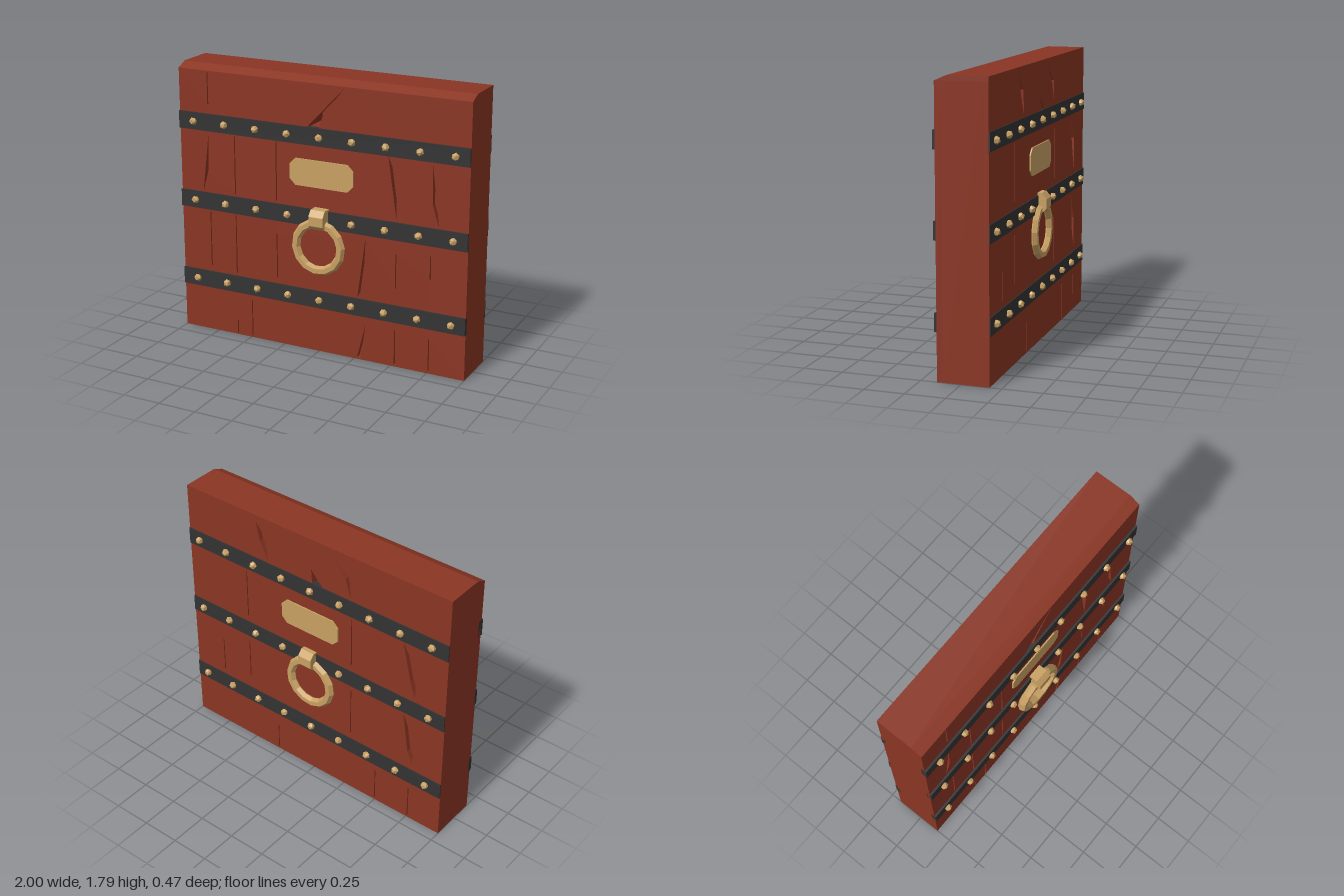
import * as THREE from 'three';

const mat = (name, color) => {
  const m = new THREE.MeshStandardMaterial({ color, flatShading: true });
  m.name = name;
  return m;
};

export function createModel() {
  const wood = mat('red wood', 0x8a3523);
  const iron = mat('dark iron', 0x333333);
  const brass = mat('brass', 0xc8a063);
  const door = new THREE.Group();
  door.name = 'door';

  const add = (name, geo, material, parent = door) => {
    const mesh = new THREE.Mesh(geo, material);
    mesh.name = name;
    parent.add(mesh);
    return mesh;
  };
  const path = (pts, Type = THREE.Shape) => new Type(pts.map(([x, y]) => new THREE.Vector2(x, y)));
  // Upright panel from z0 to z1 with polygon holes
  const panel = (outline, z0, z1, holes = []) => {
    const shape = path(outline);
    shape.holes = holes.map((h) => path(h, THREE.Path));
    return new THREE.ExtrudeGeometry(shape, { depth: z1 - z0, bevelEnabled: false }).translate(0, 0, z0);
  };
  // Profile of [z, y] points swept along x
  const sweepX = (profile, width) => new THREE.ExtrudeGeometry(
    path(profile.map(([z, y]) => [-z, y])), { depth: width, bevelEnabled: false })
    .translate(0, 0, -width / 2).rotateY(Math.PI / 2);
  const slit = ([x, y0, y1]) => [[x - 0.004, y0], [x + 0.004, y0], [x + 0.003, y1], [x - 0.003, y1]];

  // Wooden slab: core, cracked front and back skins, bevelled top
  const board = [[-1, 0], [1, 0], [1, 1.76], [-1, 1.76]];
  const gap = [[-0.085, 1.475], [0, 1.475], [0.01, 1.58]];
  const frontCracks = [
    [[-0.085, 1.475], [0, 1.475], [0.03, 1.57], [0.175, 1.75]],
    [[-0.84, 0.96], [-0.8, 1.1], [-0.79, 1.36]],
    [[0.47, 1.37], [0.53, 0.97], [0.53, 1.23]],
    [[0.76, 1.36], [0.765, 1.1], [0.81, 0.96]],
    [[0.27, 0.42], [0.31, 0.5], [0.325, 0.83]],
    [[0.27, 0.01], [0.295, 0.01], [0.33, 0.25]],
    ...[[-0.79, 1.54, 1.75], [-0.79, 0.45, 0.83], [-0.6, 0.97, 1.36], [-0.6, 0.43, 0.83],
      [-0.49, 0.01, 0.26], [-0.3, 0.97, 1.36], [-0.3, 0.45, 0.75], [-0.6, 0.01, 0.1],
      [0.53, 0.52, 0.75], [0.53, 0.01, 0.25], [0.76, 0.62, 0.78], [0.76, 0.01, 0.23]].map(slit),
  ];
  const backCracks = [
    gap,
    [[0.44, 1.75], [0.36, 1.65], [0.35, 1.5], [0.41, 1.62]],
    [[-0.16, 1.74], [-0.28, 1.64], [-0.29, 1.5], [-0.25, 1.62]],
    [[-0.68, 1.36], [-0.78, 1.2], [-0.78, 0.98], [-0.74, 1.1]],
    [[-0.7, 0.83], [-0.78, 0.65], [-0.78, 0.46], [-0.74, 0.55]],
    ...[[0.53, 0.5, 0.8], [0.53, 1, 1.35], [-0.3, 0.45, 0.8], [-0.3, 1, 1.35], [-0.5, 0.01, 0.25],
      [0.3, 0.01, 0.2], [0.76, 0.45, 0.7], [-0.76, 0.01, 0.25]].map(slit),
  ];
  const slab = new THREE.Group();
  slab.name = 'slab';
  door.add(slab);
  add('core', panel(board, -0.145, 0.11, [gap]), wood, slab);
  add('frontBoards', panel(board, 0.11, 0.147, frontCracks), wood, slab);
  add('backBoards', panel(board, -0.176, -0.145, backCracks), wood, slab);
  add('topBevel', sweepX([[-0.176, 1.76], [0.147, 1.76], [0.075, 1.792], [-0.176, 1.792]], 2), wood, slab);

  // Clipped-corner name plate outline
  const [l, r, b, t, c] = [-0.2, 0.24, 1.1, 1.275, 0.04];
  const plate = [[l + c, b], [r - c, b], [r, b + c], [r, t - c], [r - c, t], [l + c, t], [l, t - c], [l, b + c]];
  // Ring holder profile, measured outwards from the door
  const holder = [[0.12, 0.845], [0.205, 0.845], [0.237, 0.875], [0.237, 0.935], [0.205, 0.972], [0.12, 0.972]];

  // Fittings on both faces
  for (const [side, s, face] of [['front', 1, 0.147], ['back', -1, 0.176]]) {
    const fittings = new THREE.Group();
    fittings.name = side + 'Fittings';
    door.add(fittings);
    const put = (name, geo, material) => add(name, geo, material, fittings);

    // Iron bands and rows of studs
    const out = face + (s > 0 ? 0.014 : 0.007);
    for (const y of [0.358, 0.9, 1.426]) {
      put('band', new THREE.BoxGeometry(2, 0.113, 0.04).translate(0, y, s * (out - 0.02)), iron);
      for (let i = 0; i < 9; i++) {
        const stud = put('stud', new THREE.IcosahedronGeometry(0.026, 0), brass);
        stud.position.set(-0.89 + i * 0.225, y, s * (out + 0.008));
        stud.rotation.z = i * 0.7;
      }
    }

    const z = s * face;
    put('plate', panel(plate, z - 0.009, z + 0.009), brass);

    // Knocker ring and holder
    const ring = put('ring', new THREE.TorusGeometry(0.157, 0.03, 6, 14), brass);
    ring.position.set(0.015, 0.725, s * 0.185);
    ring.rotation.z = 0.1;
    const profile = holder.map(([d, y]) => [s * d, y]);
    put('ringHolder', sweepX(profile, 0.098).translate(0.022, 0, 0), brass);
  }
  return door;
}
